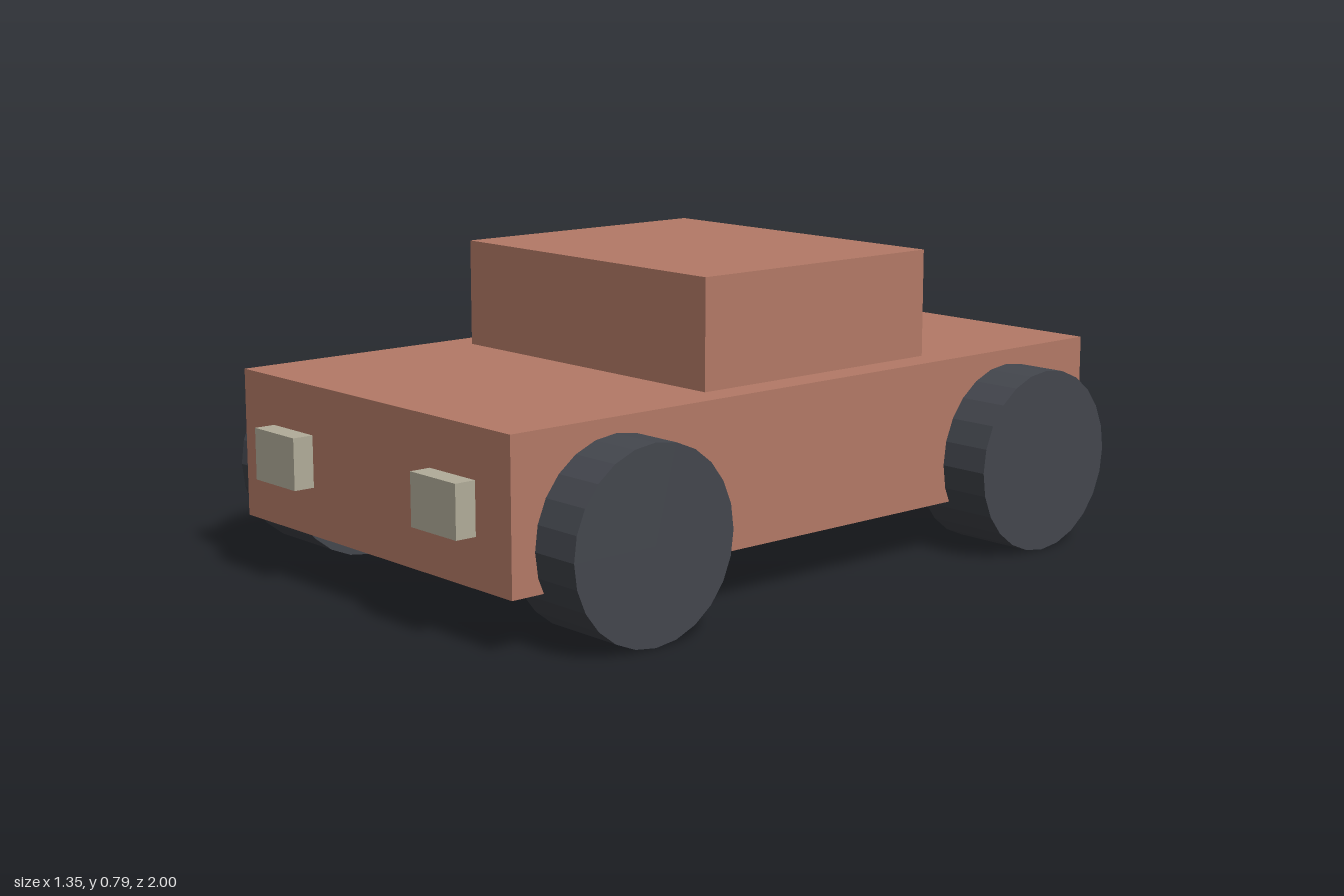
import * as THREE from 'three';

export function createModel() {
  const model = new THREE.Group();
  model.name = 'car';

  const paint = new THREE.MeshStandardMaterial({ color: 0xb47a67, flatShading: true });
  const rubber = new THREE.MeshStandardMaterial({ color: 0x44474e, flatShading: true });
  const glass = new THREE.MeshStandardMaterial({ color: 0xb2ad9a, flatShading: true });

  function add(name, geometry, material, x, y, z) {
    const mesh = new THREE.Mesh(geometry, material);
    mesh.name = name;
    mesh.position.set(x, y, z);
    model.add(mesh);
  }

  // Body and cabin
  add('body', new THREE.BoxGeometry(1.078, 0.375, 1.945), paint, 0, 0.325, -0.0275);
  add('cabin', new THREE.BoxGeometry(0.916, 0.276, 0.755), paint, 0, 0.65, -0.081);

  // Wheels lie along x and are partly sunk into the body
  const radius = 0.237;
  const wheel = new THREE.CylinderGeometry(radius, radius, 0.225, 24).rotateZ(Math.PI / 2);
  const headlight = new THREE.BoxGeometry(0.17, 0.13, 0.1);

  for (const [side, s] of [['left', 1], ['right', -1]]) {
    add(`${side}FrontWheel`, wheel, rubber, s * 0.5625, radius, 0.642);
    add(`${side}RearWheel`, wheel, rubber, s * 0.5625, radius, -0.698);
    add(`${side}Headlight`, headlight, glass, s * 0.325, 0.324, 0.95);
  }

  return model;
}
